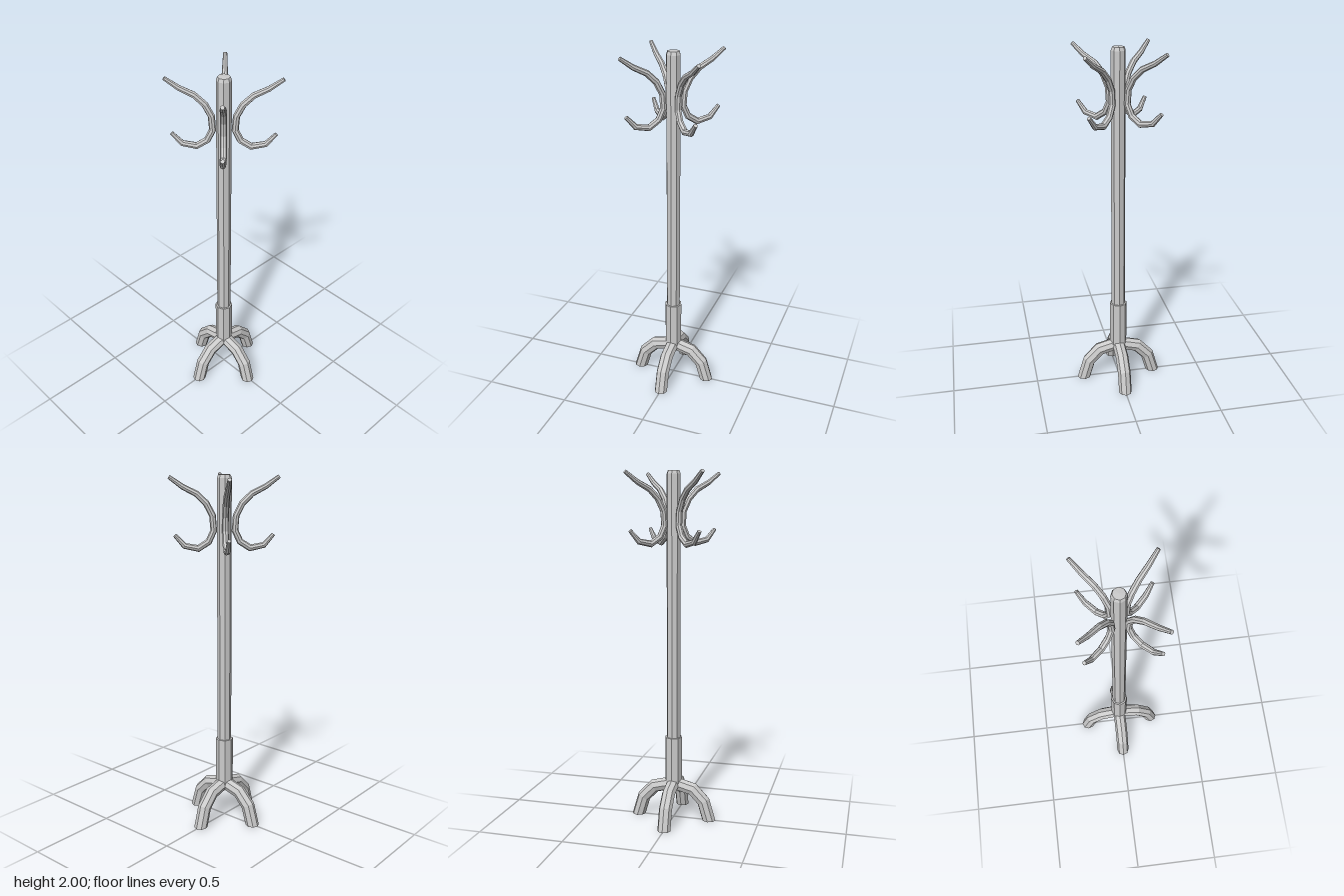
import * as THREE from 'three';

const material = new THREE.MeshStandardMaterial({ color: 0xcccccc, flatShading: true });
const SIDES = 8;

// Mitred octagonal bar along a path of [x, y, radius] in the XY plane.
// startDir / endDir optionally fix the direction the end caps are cut square to.
function sweptBar(path, startDir, endDir) {
  const pts = path.map(([x, y]) => new THREE.Vector2(x, y));
  const dirs = pts.slice(1).map((p, i) => p.clone().sub(pts[i]).normalize());
  const last = pts.length - 1;
  const rings = pts.map((p, i) => {
    const before = dirs[Math.max(i - 1, 0)];
    const after = dirs[Math.min(i, last - 1)];
    let t = before.clone().add(after).normalize();
    if (i === 0 && startDir) t = startDir;
    if (i === last && endDir) t = endDir;
    const r = path[i][2];
    const stretch = r / t.dot(after);
    return Array.from({ length: SIDES }, (_, j) => {
      const a = (j / SIDES) * Math.PI * 2;
      const n = Math.cos(a) * stretch;
      return [p.x - t.y * n, p.y + t.x * n, Math.sin(a) * r];
    });
  });

  const verts = [];
  const tri = (...corners) => corners.forEach((c) => verts.push(...c));
  const start = [pts[0].x, pts[0].y, 0];
  const end = [pts[last].x, pts[last].y, 0];
  for (let j = 0; j < SIDES; j++) {
    const k = (j + 1) % SIDES;
    for (let i = 0; i < last; i++) {
      const [p, q] = [rings[i], rings[i + 1]];
      tri(p[j], p[k], q[k]);
      tri(p[j], q[k], q[j]);
    }
    tri(start, rings[0][k], rings[0][j]);
    tri(end, rings[last][j], rings[last][k]);
  }
  const geometry = new THREE.BufferGeometry();
  geometry.setAttribute('position', new THREE.Float32BufferAttribute(verts, 3));
  geometry.computeVertexNormals();
  return geometry;
}

// Octagonal turned part from [radius, y] points
function turned(name, profile) {
  const geometry = new THREE.LatheGeometry(profile.map(([r, y]) => new THREE.Vector2(r, y)), SIDES);
  const mesh = new THREE.Mesh(geometry, material);
  mesh.name = name;
  return mesh;
}

// Four copies spaced evenly around the pole
function fourAround(name, geometry, offset) {
  const group = new THREE.Group();
  group.name = name + 's';
  for (let i = 0; i < 4; i++) {
    const mesh = new THREE.Mesh(geometry, material);
    mesh.name = name;
    mesh.rotation.y = offset + (i * Math.PI) / 2;
    group.add(mesh);
  }
  return group;
}

export function createModel() {
  const model = new THREE.Group();
  model.name = 'coatStand';

  // Upright pole with a bevelled top, and the thicker collar above the legs
  model.add(turned('pole', [[0, 0.2], [0.04, 0.2], [0.04, 1.98], [0.033, 1.998], [0, 2]]));
  model.add(turned('collar', [[0, 0.2], [0.05, 0.2], [0.05, 0.49], [0, 0.49]]));

  // Arched legs, cut flat at the floor
  const leg = sweptBar(
    [[0.213, 0, 0.038], [0.18, 0.112, 0.038], [0.115, 0.18, 0.038], [0, 0.21, 0.038]],
    new THREE.Vector2(0, 1),
    new THREE.Vector2(-1, 0)
  );
  model.add(fourAround('leg', leg, 0));

  // Double hooks: long upper arm and short upturned lower arm, tapered at the tips
  const hook = sweptBar([
    [0.297, 1.987, 0.011], [0.225, 1.935, 0.015], [0.15, 1.897, 0.017],
    [0.097, 1.845, 0.018], [0.064, 1.78, 0.018], [0.058, 1.7, 0.018],
    [0.086, 1.64, 0.018], [0.142, 1.604, 0.018], [0.217, 1.619, 0.016],
    [0.27, 1.678, 0.011],
  ]);
  model.add(fourAround('hook', hook, Math.PI / 4));

  return model;
}
